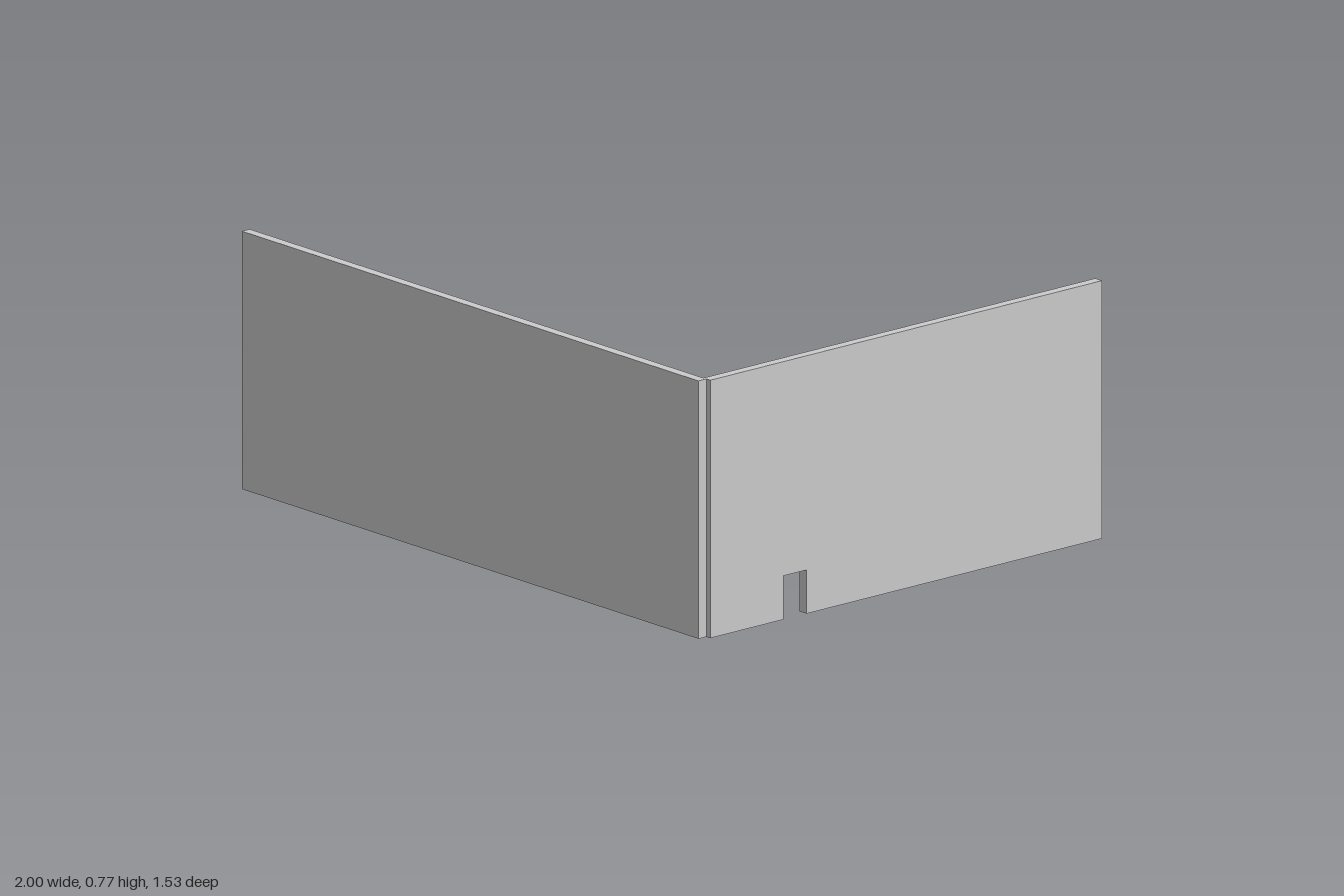
import * as THREE from 'three';

const HEIGHT = 0.773;
const THICKNESS = 0.03;

export function createModel() {
  const group = new THREE.Group();
  const material = new THREE.MeshStandardMaterial({ color: 0xcccccc, flatShading: true });

  // Long plain front panel
  const frontWall = new THREE.Mesh(new THREE.BoxGeometry(1.983, HEIGHT, THICKNESS), material);
  frontWall.name = 'frontWall';
  frontWall.position.set(-0.0085, HEIGHT / 2, 0.749);
  group.add(frontWall);

  // Side panel outline with a notch in its lower edge; shape x runs along -z
  const outline = new THREE.Shape([
    [-0.734, 0], [-0.455, 0], [-0.455, 0.131], [-0.366, 0.131], [-0.366, 0],
    [0.764, 0], [0.764, HEIGHT], [-0.734, HEIGHT],
  ].map(([x, y]) => new THREE.Vector2(x, y)));
  const sideGeometry = new THREE.ExtrudeGeometry(outline, { depth: THICKNESS, bevelEnabled: false });
  sideGeometry.rotateY(Math.PI / 2);
  const sideWall = new THREE.Mesh(sideGeometry, material);
  sideWall.name = 'notchedSideWall';
  sideWall.position.x = 1 - THICKNESS;
  group.add(sideWall);

  return group;
}
